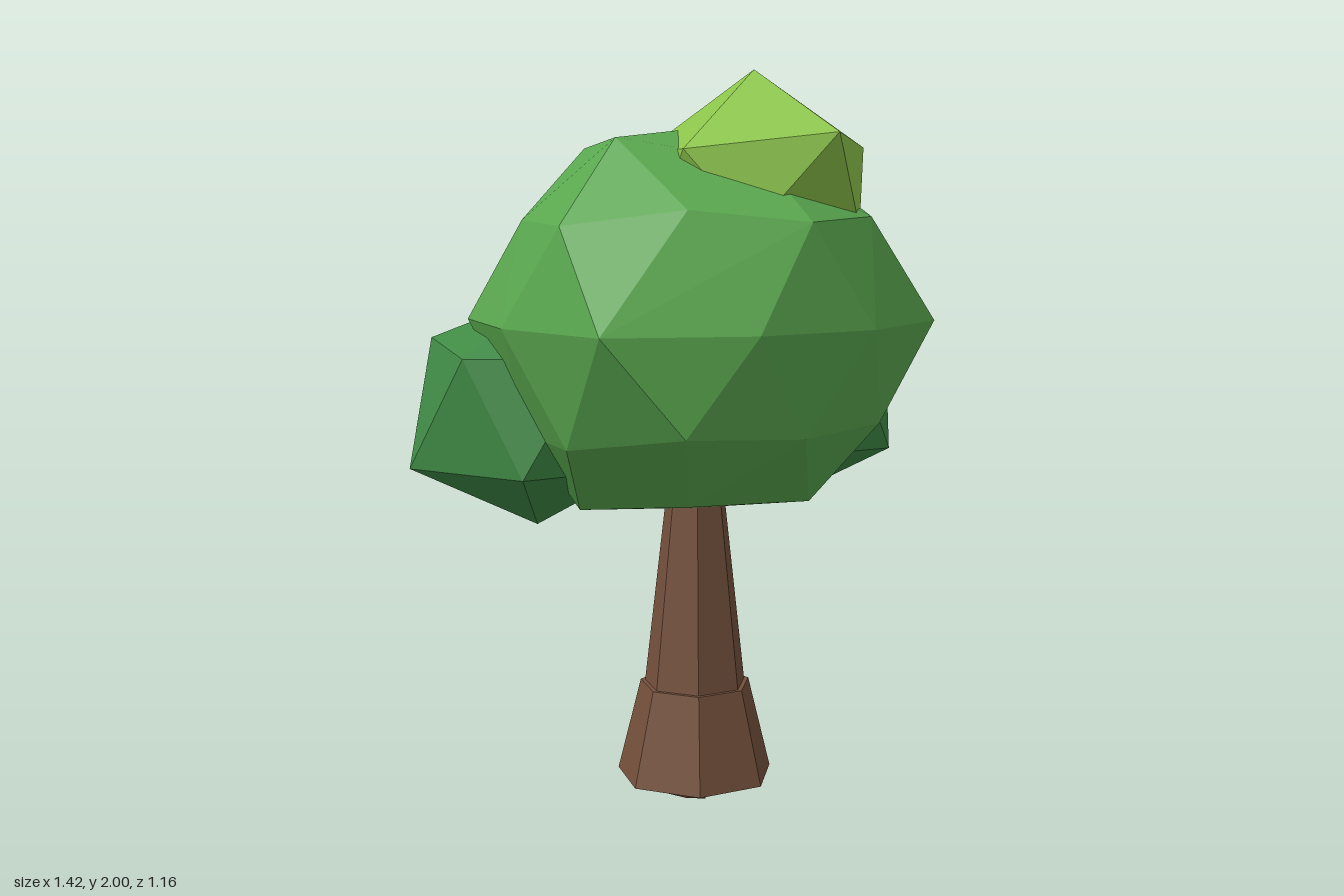
import * as THREE from 'three';
import { ConvexGeometry } from 'three/addons/geometries/ConvexGeometry.js';

const mat = (name, color) => {
  const m = new THREE.MeshStandardMaterial({ color, flatShading: true });
  m.name = name;
  return m;
};

// Faceted foliage: rings of five or ten points around a vertical axis.
// Each ring is [start angle in degrees, heights, radii]; single numbers repeat.
function foliage(name, material, cx, cz, bottom, top, rings) {
  const points = [new THREE.Vector3(cx, bottom, cz), new THREE.Vector3(cx, top, cz)];
  for (const [start, y, r] of rings) {
    const count = Math.max(y.length || 5, r.length || 5);
    for (let i = 0; i < count; i++) {
      const a = THREE.MathUtils.degToRad(start + (i * 360) / count);
      const radius = r.length ? r[i] : r;
      points.push(new THREE.Vector3(
        cx + radius * Math.cos(a), y.length ? y[i] : y, cz + radius * Math.sin(a)));
    }
  }
  const mesh = new THREE.Mesh(new ConvexGeometry(points), material);
  mesh.name = name;
  return mesh;
}

// Seven-sided tapered trunk section with a corner towards +x
function section(name, material, rTop, rBottom, y0, y1) {
  const geo = new THREE.CylinderGeometry(rTop, rBottom, y1 - y0, 7, 1, false, Math.PI / 2);
  const mesh = new THREE.Mesh(geo, material);
  mesh.name = name;
  mesh.position.set(0.052, (y0 + y1) / 2, 0.015);
  return mesh;
}

export function createModel() {
  const tree = new THREE.Group();
  tree.name = 'tree';
  const bark = mat('bark brown', 0x74503c);
  const green = mat('leaf green', 0x5aa84f);
  const dark = mat('dark leaf green', 0x3f8a45);
  const lime = mat('lime leaf', 0x8bc34a);

  // Trunk and flared base
  tree.add(section('trunk', bark, 0.075, 0.146, 0.3, 0.92));
  tree.add(section('trunkFlare', bark, 0.155, 0.22, 0.07, 0.33));

  // Three root stubs poking out under the flare
  for (let i = 0; i < 3; i++) {
    const pivot = new THREE.Group();
    pivot.name = 'root';
    pivot.position.set(0.052, 0.1, 0.015);
    pivot.rotation.y = (i * Math.PI * 2) / 3;
    const stub = new THREE.Mesh(new THREE.CylinderGeometry(0.03, 0.055, 0.16, 5), bark);
    stub.name = 'rootStub';
    stub.position.x = 0.05;
    stub.rotation.z = 0.5;
    pivot.add(stub);
    tree.add(pivot);
  }

  // Main canopy, rings listed from the top down
  tree.add(foliage('mainCanopy', green, 0.05, 0, 0.82, 1.85, [
    [0, [1.76, 1.76, 1.82, 1.8, 1.79], [0.31, 0.31, 0.325, 0.32, 0.3]],
    [0, [1.59, 1.61, 1.6, 1.6, 1.59], [0.48, 0.52, 0.54, 0.51, 0.52]],
    [36, [1.62, 1.64, 1.61, 1.62, 1.6], [0.49, 0.46, 0.47, 0.47, 0.54]],
    [18, 1.34, [0.65, 0.58, 0.58, 0.66, 0.59, 0.617, 0.575, 0.585, 0.62, 0.56]],
    [36, [1.08, 1.09, 1.04, 1.0, 1.06], [0.52, 0.58, 0.46, 0.5, 0.52]],
    [0, [1.06, 1.07, 1.04, 1.06, 1.06], [0.51, 0.5, 0.52, 0.48, 0.5]],
    [36, [0.86, 0.88, 0.83, 0.85, 0.86], [0.33, 0.32, 0.32, 0.29, 0.31]],
  ]));

  // Smaller clumps
  tree.add(foliage('rightClump', dark, -0.36, -0.14, 0.77, 1.4, [
    [0, [1.25, 1.25, 1.25, 1.28, 1.25], [0.3, 0.3, 0.28, 0.32, 0.31]],
    [36, 0.94, [0.3, 0.3, 0.35, 0.32, 0.3]],
  ]));
  tree.add(foliage('leftClump', dark, 0.4, -0.24, 0.79, 1.38, [
    [0, 1.26, 0.31],
    [36, 0.955, [0.31, 0.28, 0.28, 0.28, 0.3]],
  ]));
  tree.add(foliage('topClump', lime, 0.18, 0.115, 1.42, 2.0, [
    [0, [1.8, 1.83, 1.79, 1.79, 1.8], [0.31, 0.36, 0.3, 0.31, 0.32]],
    [36, 1.59, [0.29, 0.28, 0.27, 0.27, 0.27]],
  ]));
  return tree;
}
